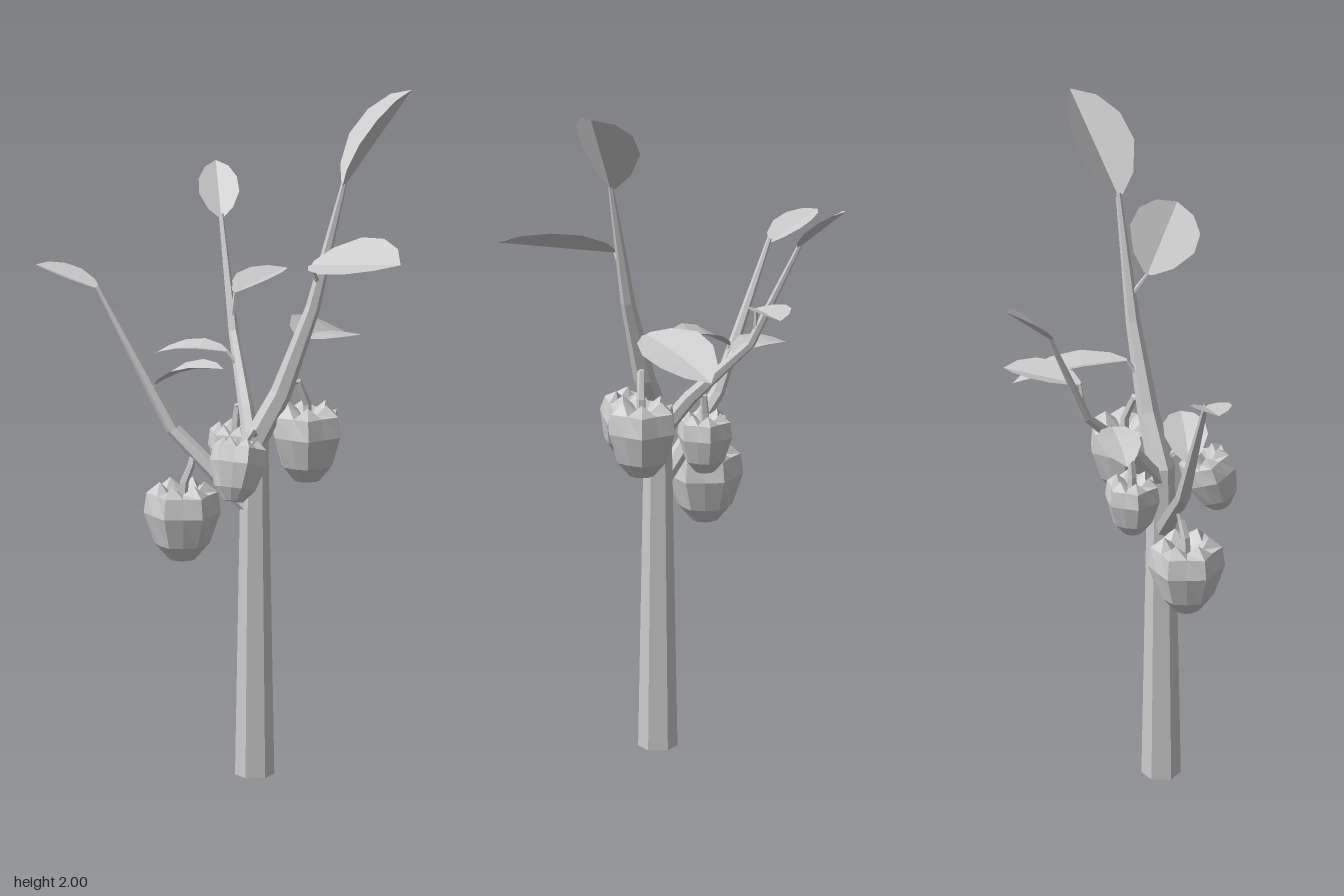
import * as THREE from 'three';

const V = (a) => new THREE.Vector3(...a);
const solid = new THREE.MeshStandardMaterial({ color: 0xcccccc, flatShading: true });
const thin = new THREE.MeshStandardMaterial({ color: 0xcccccc, flatShading: true, side: THREE.DoubleSide });

function makeMesh(name, geometry, material) {
  const mesh = new THREE.Mesh(geometry, material);
  mesh.name = name;
  return mesh;
}

function indexed(positions, index) {
  const g = new THREE.BufferGeometry();
  g.setAttribute('position', new THREE.Float32BufferAttribute(positions, 3));
  g.setIndex(index);
  g.computeVertexNormals();
  return g;
}

// Tapered tube through points given as [x, y, z, radius]
function stem(name, points, sides = 6) {
  const centres = points.map((p) => V(p.slice(0, 3)));
  const last = centres.length - 1;
  const span = centres[last].clone().sub(centres[0]).normalize();
  const ref = Math.abs(span.z) < 0.6 ? V([0, 0, 1]) : V([1, 0, 0]);
  const pos = [], index = [];
  centres.forEach((c, i) => {
    const t = i === 0 && name === 'trunk' ? V([0, 1, 0])
      : centres[Math.min(i + 1, last)].clone().sub(centres[Math.max(i - 1, 0)]).normalize();
    const u = new THREE.Vector3().crossVectors(ref, t).normalize();
    const w = new THREE.Vector3().crossVectors(t, u);
    for (let j = 0; j < sides; j++) {
      const a = (j / sides) * Math.PI * 2;
      const p = c.clone().addScaledVector(u, Math.cos(a) * points[i][3]).addScaledVector(w, Math.sin(a) * points[i][3]);
      pos.push(p.x, p.y, p.z);
      if (i < last) {
        const k = i * sides, n = (j + 1) % sides;
        index.push(k + j, k + n, k + sides + j, k + n, k + sides + n, k + sides + j);
      }
    }
  });
  return makeMesh(name, indexed(pos, index), solid);
}

// Leaf folded along its midrib; fold lifts the edges, bow arches the midrib
function leaf(name, { base, tip, up, width, fold = 0.25, bow = 0 }) {
  const outline = [[0, 0.14], [0.13, 0.62], [0.38, 1], [0.64, 0.95], [0.86, 0.58], [1, 0]];
  const a = V(base), axis = V(tip).sub(a);
  const side = new THREE.Vector3().crossVectors(axis, V(up)).normalize();
  const normal = new THREE.Vector3().crossVectors(side, axis).normalize();
  const pos = [], index = [];
  outline.forEach(([t, w], i) => {
    for (const s of [-1, 0, 1]) {
      const half = (w * width) / 2;
      const lift = Math.sin(Math.PI * t) * bow + Math.abs(s) * half * fold;
      const p = a.clone().addScaledVector(axis, t).addScaledVector(side, s * half).addScaledVector(normal, lift);
      pos.push(p.x, p.y, p.z);
    }
    if (i < outline.length - 1) {
      for (const k of [i * 3, i * 3 + 1]) index.push(k, k + 1, k + 3, k + 1, k + 4, k + 3);
    }
  });
  return makeMesh(name, indexed(pos, index), thin);
}

// Six-lobed fruit with a sunken crown
function fruit(name, { at, radius, height, turn = 0, tilt = [0, 0] }) {
  const profile = [[0, -0.48], [0.36, -0.5], [0.72, -0.3], [1, 0.1], [0.93, 0.36], [0.58, 0.5], [0.14, 0.26], [0, 0.26]];
  const g = new THREE.LatheGeometry(profile.map(([r, y]) => new THREE.Vector2(r * radius, y * height)), 12);
  const p = g.attributes.position;
  for (let i = 0; i < p.count; i++) {
    const ring = i % profile.length, column = Math.floor(i / profile.length);
    if (column % 2 === 0 || ring < 2 || ring > 5) continue;
    const s = [0, 0, 0.94, 0.88, 0.82, 0.8][ring];
    p.setXYZ(i, p.getX(i) * s, p.getY(i) - (ring === 5 ? 0.12 * height : 0), p.getZ(i) * s);
  }
  g.computeVertexNormals();
  const mesh = makeMesh(name, g, solid);
  mesh.position.set(...at);
  mesh.rotation.set(tilt[0], turn, tilt[1]);
  return mesh;
}

export function createModel() {
  const plant = new THREE.Group();
  plant.name = 'fruitingPlant';

  // Trunk and branches
  const stems = {
    trunk: [[0.08, 0, 0.125, 0.056], [0.08, 0.98, 0.125, 0.039], [0.155, 1.12, 0.127, 0.031],
      [0.245, 1.37, 0.13, 0.021], [0.335, 1.74, 0.135, 0.008]],
    leftBranch: [[0.07, 0.78, 0.125, 0.026], [-0.03, 0.88, 0.095, 0.025], [-0.15, 1.0, 0.06, 0.021], [-0.365, 1.41, 0.01, 0.007]],
    backBranch: [[0.075, 0.94, 0.115, 0.026], [0.06, 1.05, 0.03, 0.022], [0.03, 1.23, -0.15, 0.014], [0, 1.54, -0.295, 0.007]],
  };
  for (const [name, points] of Object.entries(stems)) plant.add(stem(name, points));

  // Leaves, with the point where a stalk joins its branch
  const leaves = {
    topLeaf: { base: [0.335, 1.73, 0.135], tip: [0.53, 2.0, 0.09], up: [-0.8, 0.6, 0.05], width: 0.185, fold: 0.6 },
    frontLeaf: { base: [0.24, 1.51, 0.175], tip: [0.485, 1.57, 0.42], up: [-0.3, 0.9, 0.2], width: 0.2, fold: 0.3, from: [0.262, 1.44, 0.132] },
    rightLeaf: { base: [0.21, 1.27, 0.09], tip: [0.355, 1.21, -0.205], up: [0.2, 1, 0.1], width: 0.19, fold: 0.2, bow: 0.015, from: [0.19, 1.2, 0.128] },
    rearLeaf: { base: [0.035, 1.34, -0.17], tip: [0.185, 1.37, -0.335], up: [-0.15, 1, 0.1], width: 0.125, fold: 0.35, from: [0.027, 1.26, -0.165] },
    leftTipLeaf: { base: [-0.36, 1.4, 0.005], tip: [-0.537, 1.46, -0.05], up: [0.2, 1, 0.1], width: 0.115, fold: 0.3 },
    innerLeaf: { base: [0.01, 1.19, -0.08], tip: [-0.192, 1.17, -0.15], up: [0, 1, 0], width: 0.12, fold: 0.2, bow: 0.015, from: [0.042, 1.15, -0.07] },
    leftLeaf: { base: [-0.2, 1.13, 0.052], tip: [-0.01, 1.195, 0.135], up: [-0.3, 1, -0.15], width: 0.125, fold: 0.25, bow: 0.02, from: [-0.2, 1.09, 0.05] },
    backTipLeaf: { base: [0, 1.53, -0.29], tip: [-0.01, 1.66, -0.44], up: [0, 0.7, 0.7], width: 0.115, fold: 0.3 },
  };
  for (const [name, spec] of Object.entries(leaves)) {
    plant.add(leaf(name, spec));
    if (spec.from) plant.add(stem(name + 'Stalk', [[...spec.from, 0.008], [...spec.base, 0.005]], 5));
  }

  // Fruits hanging from curved stalks
  const fruits = {
    rightFruit: { at: [0.23, 0.97, 0.093], radius: 0.108, height: 0.225,
      stalk: [[0.165, 1.15, 0.128], [0.205, 1.15, 0.11], [0.23, 1.08, 0.095], [0.23, 1.01, 0.093]] },
    leftFruit: { at: [-0.125, 0.74, 0.087], radius: 0.11, height: 0.225, turn: Math.PI / 6,
      stalk: [[-0.09, 0.95, 0.075], [-0.1, 0.9, 0.085], [-0.12, 0.85, 0.087], [-0.125, 0.78, 0.087]] },
    frontFruit: { at: [0.025, 0.93, 0.258], radius: 0.083, height: 0.18, turn: 0.3, tilt: [-0.25, -0.15],
      stalk: [[0.085, 1.0, 0.14], [0.07, 1.02, 0.18], [0.05, 1.01, 0.225], [0.035, 0.96, 0.248]] },
    backFruit: { at: [0.03, 0.915, 0], radius: 0.082, height: 0.175, turn: 0.2,
      stalk: [[0.055, 1.06, 0.02], [0.035, 1.05, 0.0], [0.03, 1.0, 0], [0.03, 0.95, 0]] },
  };
  for (const [name, spec] of Object.entries(fruits)) {
    plant.add(fruit(name, spec));
    plant.add(stem(name + 'Stalk', spec.stalk.map((p, i) => [...p, 0.009 + i * 0.002]), 5));
  }
  return plant;
}
